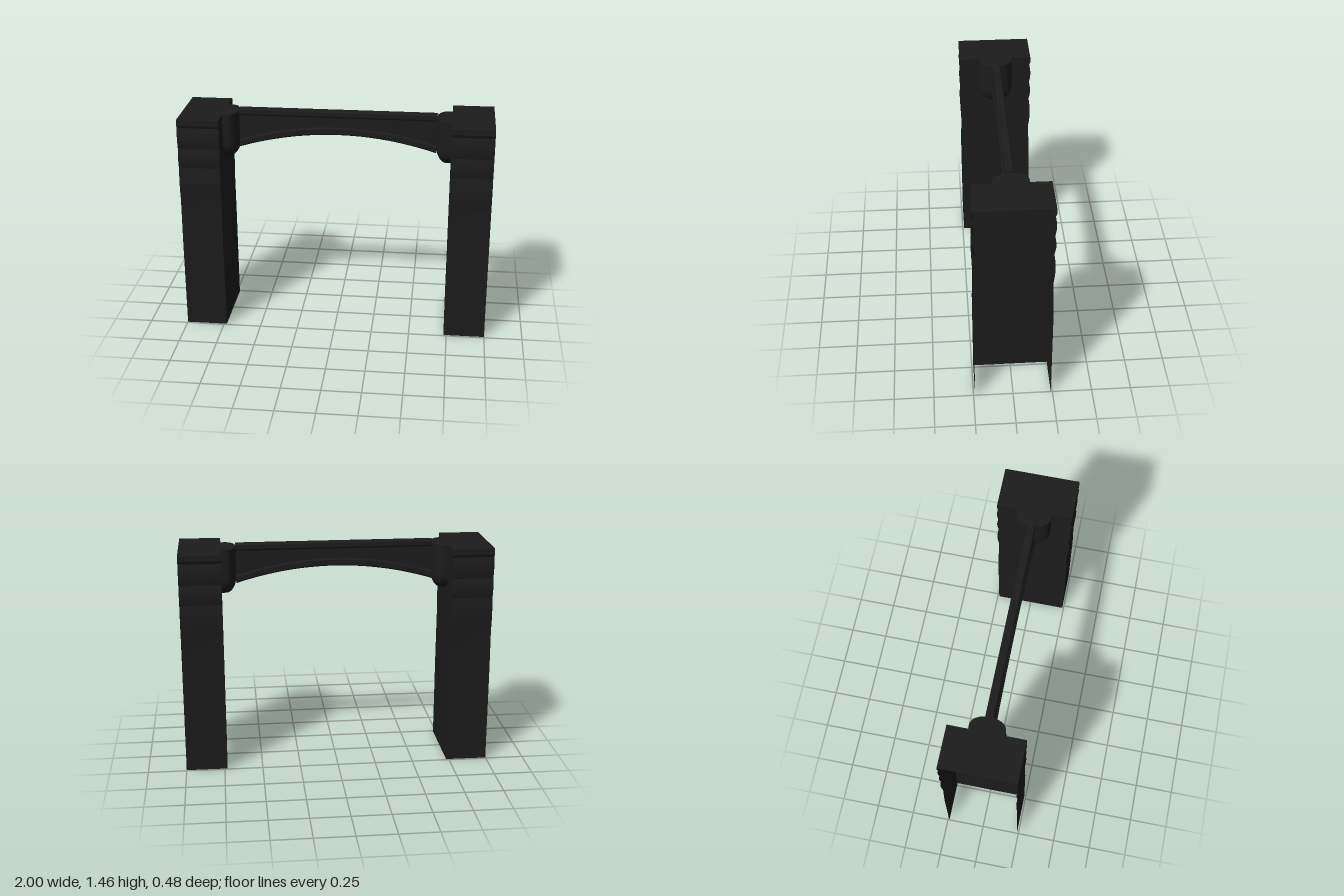
import * as THREE from 'three';
import { toCreasedNormals } from 'three/addons/utils/BufferGeometryUtils.js';

const material = new THREE.MeshStandardMaterial({ color: 0x1c1c1c, side: THREE.DoubleSide });

// Skin rows of points; closed rows wrap round and get end caps.
function loft(rows, closed, crease) {
  const n = rows[0].length, pos = rows.flat(2), index = [];
  const last = (rows.length - 1) * n;
  for (let i = 0; i < rows.length - 1; i++) {
    for (let j = 0; j < (closed ? n : n - 1); j++) {
      const a = i * n + j, b = i * n + (j + 1) % n;
      index.push(a, b, b + n, a, b + n, a + n);
    }
  }
  if (closed) {
    for (const [start, flip] of [[0, true], [last, false]]) {
      const row = rows[start / n], c = pos.length / 3;
      for (let k = 0; k < 3; k++) pos.push(row.reduce((s, p) => s + p[k], 0) / n);
      for (let j = 0; j < n; j++) {
        const a = start + j, b = start + (j + 1) % n;
        index.push(c, flip ? b : a, flip ? a : b);
      }
    }
  }
  const geo = new THREE.BufferGeometry();
  geo.setAttribute('position', new THREE.Float32BufferAttribute(pos, 3));
  geo.setIndex(index);
  return toCreasedNormals(geo, crease);
}

function part(name, geo) {
  const mesh = new THREE.Mesh(geo, material);
  mesh.name = name;
  return mesh;
}

const TOP = 1.445, INNER = 0.732, OUTER = 1, DEPTH = 0.24;

// Hollow pillar, open on its outer side and base, with bulging stone courses
function pillarWalls() {
  const profile = [[0, DEPTH], [0.6, DEPTH]];
  const joints = [0.9, 1.12, 1.25, 1.39, TOP];
  for (let c = 0; c < joints.length - 1; c++) {
    const steps = 8, lo = joints[c], hi = joints[c + 1];
    for (let i = c ? 1 : 0; i <= steps; i++) {
      const t = i / steps;
      const y = lo + (hi - lo) * t;
      const straightTop = c === 3 && t > 0.4;
      profile.push([y, straightTop ? DEPTH : DEPTH - 0.008 + 0.01 * Math.sin(Math.PI * t)]);
    }
  }
  return loft(profile.map(([y, d]) =>
    [[OUTER, y, -d], [INNER, y, -d], [INNER, y, d], [OUTER, y, d]]), false, 0.25);
}

function pillarTop() {
  const geo = new THREE.PlaneGeometry(OUTER - INNER, DEPTH * 2);
  geo.rotateX(-Math.PI / 2);
  geo.translate((OUTER + INNER) / 2, TOP, 0);
  return geo;
}

// Corbel: U-shaped section that shrinks to a rounded nose
function corbel() {
  const radius = 0.11, nose = 0.068, start = 0.704, centreY = 1.25;
  const ring = (x, r) => {
    const pts = [[x, TOP, -r]];
    for (let i = 0; i <= 16; i++) {
      const a = Math.PI * (1 + i / 16);
      pts.push([x, centreY + r * Math.sin(a), r * Math.cos(a)]);
    }
    pts.push([x, TOP, r]);
    return pts;
  };
  const rows = [ring(INNER, radius)];
  for (let i = 0; i <= 10; i++) {
    const a = (i / 10) * 1.5;
    rows.push(ring(start - nose * Math.sin(a), radius * Math.cos(a)));
  }
  return loft(rows, true, 0.6);
}

// Thin beam with a flat bead on top and a moulding along the arched underside
function archBeam() {
  const half = 0.637, top = 1.463, rows = [];
  for (let i = 0; i <= 24; i++) {
    const x = half * (1 - i / 12);
    const low = 1.305 - 0.1 * (x / half) ** 2;
    const side = [
      [low, 0.022], [low + 0.008, 0.03], [low + 0.04, 0.03], [low + 0.05, 0.021],
      [top - 0.045, 0.021], [top - 0.035, 0.027], [top - 0.008, 0.027], [top, 0.02],
    ];
    rows.push([
      ...side.map(([y, z]) => [x, y, z]),
      ...side.reverse().map(([y, z]) => [x, y, -z]),
    ]);
  }
  return loft(rows, true, 0.5);
}

export function createModel() {
  const model = new THREE.Group();
  model.name = 'archway';
  for (const side of ['left', 'right']) {
    const support = new THREE.Group();
    support.name = side + 'Support';
    support.add(
      part('pillarWalls', pillarWalls()),
      part('pillarTop', pillarTop()),
      part('corbel', corbel()),
    );
    if (side === 'right') support.rotation.y = Math.PI;
    model.add(support);
  }
  model.add(part('archBeam', archBeam()));
  return model;
}
